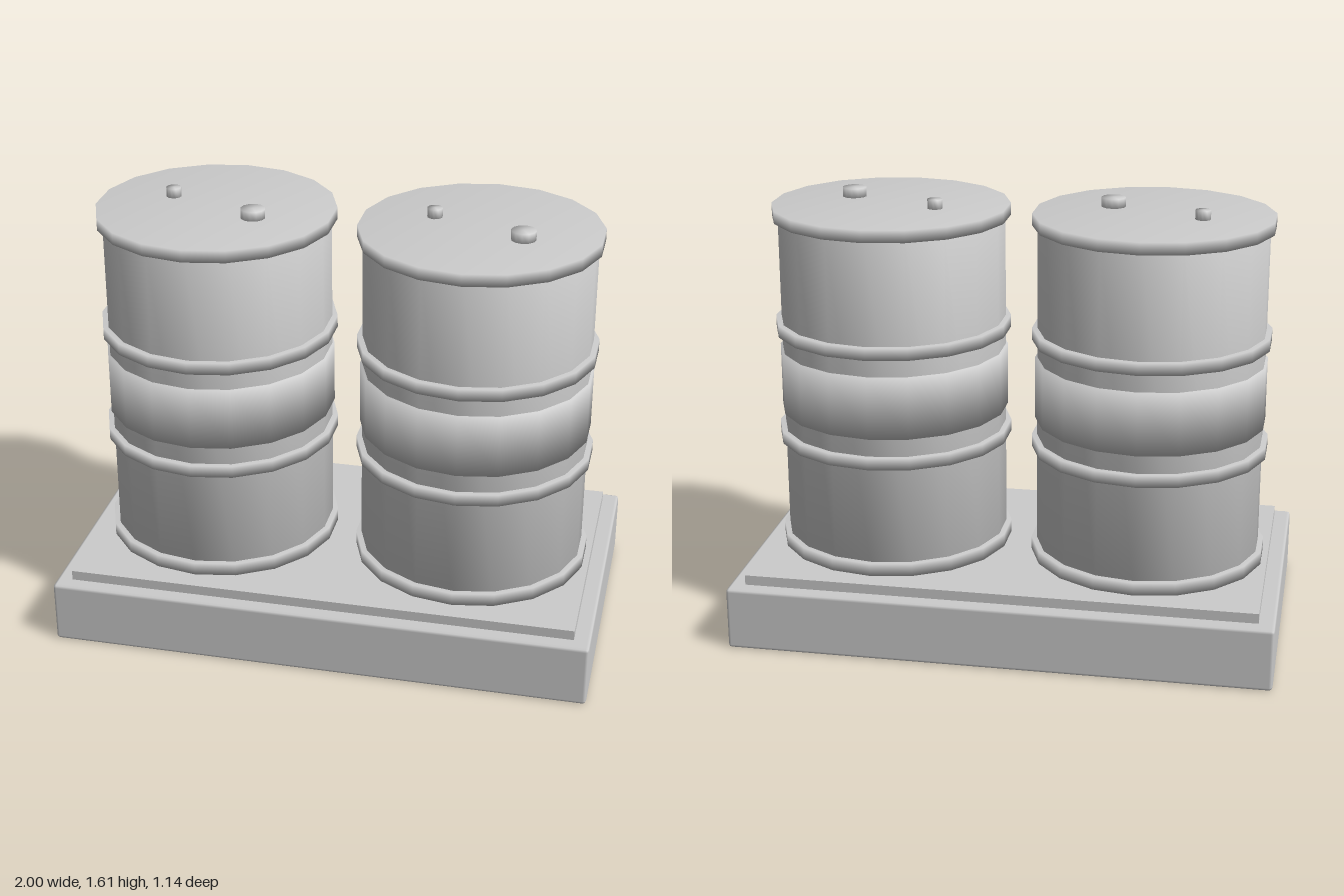
import * as THREE from 'three';
import { RoundedBoxGeometry } from 'three/addons/geometries/RoundedBoxGeometry.js';

const SIDES = 18;

export function createModel() {
  const model = new THREE.Group();
  model.name = 'drumsOnPlinth';
  const grey = new THREE.MeshStandardMaterial({ color: 0xcccccc });
  grey.name = 'light grey';

  const add = (parent, name, geometry, x, y, z) => {
    const mesh = new THREE.Mesh(geometry, grey);
    mesh.name = name;
    mesh.position.set(x, y, z);
    parent.add(mesh);
    return mesh;
  };

  // Closed disc with soft normals running over its rims
  const disc = (radius, y0, y1, sides = SIDES) => new THREE.LatheGeometry([
    new THREE.Vector2(0, y0),
    new THREE.Vector2(radius, y0),
    new THREE.Vector2(radius, y1),
    new THREE.Vector2(0, y1),
  ], sides);

  // Plinth: chamfered block with a thin raised deck
  add(model, 'plinth', new RoundedBoxGeometry(2, 0.235, 1.14, 1, 0.013), 0, 0.1175, 0);
  add(model, 'deck', new THREE.BoxGeometry(1.88, 0.05, 1.03), 0, 0.247, 0);

  // Two identical drums
  const hoops = [[0.272, 0.32], [0.687, 0.732], [1.1, 1.145], [1.527, 1.572]];
  for (const [side, x] of [['right', -0.485], ['left', 0.485]]) {
    const drum = new THREE.Group();
    drum.name = side + 'Drum';
    drum.position.x = x;
    model.add(drum);

    add(drum, 'body', disc(0.419, 0.272, 1.56), 0, 0, 0);
    add(drum, 'labelBand', disc(0.427, 0.8, 1.033), 0, 0, 0);
    hoops.forEach(([y0, y1], i) =>
      add(drum, i === 3 ? 'lid' : 'hoop' + (i + 1), disc(0.439, y0, y1), 0, 0, 0));

    // Bung caps on the lid
    add(drum, 'largeBung', disc(0.045, 1.565, 1.606, 12), 0.16, 0, 0.085);
    add(drum, 'smallBung', disc(0.028, 1.565, 1.606, 12), -0.178, 0, -0.062);
  }
  return model;
}
